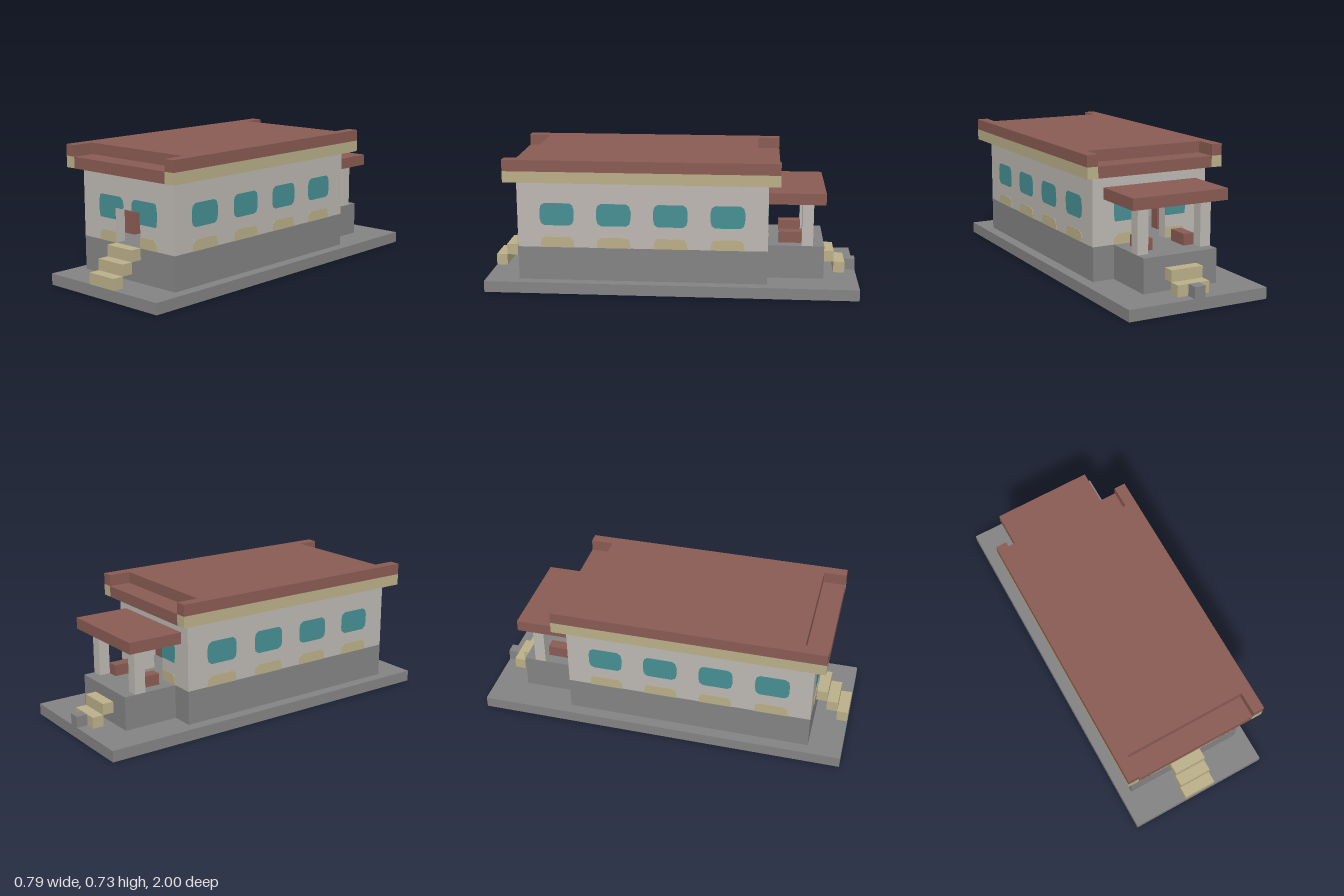
import * as THREE from 'three';

const mat = (name, color) => {
  const m = new THREE.MeshStandardMaterial({ color });
  m.name = name;
  return m;
};

export function createModel() {
  const stone = mat('stone grey', 0x848484);
  const wall = mat('pale wall', 0xbdb8b2);
  const red = mat('brick red', 0x8a5c53);
  const cream = mat('cream', 0xbbb08a);
  const teal = mat('teal glass', 0x479094);

  // Everything is laid out on a block grid, 33 blocks long
  const house = new THREE.Group();
  house.name = 'house';
  house.scale.setScalar(2 / 33);

  const box = (name, m, x0, x1, y0, y1, z0, z1) => {
    const mesh = new THREE.Mesh(new THREE.BoxGeometry(x1 - x0, y1 - y0, z1 - z0), m);
    mesh.position.set((x0 + x1) / 2, (y0 + y1) / 2, (z0 + z1) / 2);
    mesh.name = name;
    house.add(mesh);
    return mesh;
  };

  // Ground and foundations
  box('baseSlab', stone, -6.5, 6.5, 0, 1, -16.5, 16.5);
  box('foundation', stone, -5.5, 5.5, 1, 4, -8.5, 13.5);
  box('porchFoundation', stone, -3.5, 3.5, 1, 4, -13.5, -8.5);

  // Hollow walls, with a doorway at each end
  for (const s of [-1, 1]) box('sideWall', wall, s * 5 - 0.5, s * 5 + 0.5, 4, 10, -8.5, 13.5);
  for (const z of [-8.5, 12.5]) {
    for (const s of [-1, 1]) box('endWall', wall, s * 3 - 1.5, s * 3 + 1.5, 4, 10, z, z + 1);
    box('doorLintel', wall, -1.5, 1.5, 7, 10, z, z + 1);
  }

  // Roof: cream eaves, red core and a raised top recessed at both ends
  for (const s of [-1, 1]) {
    box('eaves', cream, s * 6 - 0.5, s * 6 + 0.5, 10, 11, -9.5, 14.5);
    box('roofEdge', red, s * 6 - 0.5, s * 6 + 0.5, 11, 12, -9.5, 14.5);
  }
  box('roofCore', red, -5.5, 5.5, 10, 11, -9.5, 14.5);
  box('roofTop', red, -5.5, 5.5, 11, 12, -7.5, 12.5);

  // Porch canopy, posts and benches
  box('canopy', red, -4.5, 4.5, 8, 9, -13.5, -8.5);
  for (const s of [-1, 1]) {
    box('porchPost', wall, s * 3 - 0.5, s * 3 + 0.5, 4, 8, -12.5, -11.5);
    box('porchBench', red, s * 2 - 0.5, s * 2 + 0.5, 4, 5, -11.5, -9.5);
  }

  // Seats inside
  for (const s of [-1, 1]) {
    for (const z of [-5, 0, 5, 10]) box('seat', red, s * 3.5 - 1, s * 3.5 + 1, 4, 6, z - 0.5, z + 0.5);
  }

  // Steps
  for (let i = 0; i < 3; i++) box('frontStep', cream, -1.5, 1.5, 3 - i, 4 - i, 13.5 + i, 14.5 + i);
  for (let i = 0; i < 2; i++) box('backStep', cream, -1.5, 1.5, 2 - i, 3 - i, -14.5 - i, -13.5 - i);
  box('backFootstone', stone, -0.5, 0.5, 1, 2, -16.5, -15.5);

  // Painted details on the walls
  const polygon = (pts) => new THREE.Shape(pts.map(([x, y]) => new THREE.Vector2(x, y)));
  const sideWindow = polygon([
    [-1.1, 6], [1.1, 6], [1.4, 6.2], [1.5, 6.6], [1.5, 7.4], [1.4, 7.8],
    [1.1, 8], [-1.1, 8], [-1.4, 7.8], [-1.5, 7.4], [-1.5, 6.6], [-1.4, 6.2],
  ]);
  const sidePanel = polygon([[-1.5, 4], [1.5, 4], [1.4, 4.7], [1.1, 4.95], [-1.1, 4.95], [-1.4, 4.7]]);
  const endWindow = polygon([
    [1.5, 6], [3.4, 6], [3.5, 6.6], [3.5, 7.4], [3.4, 7.9], [3.2, 8],
    [0.9, 8], [0.6, 7.8], [0.5, 7.4], [0.55, 7], [1.5, 7],
  ]);
  const endPanel = polygon([[1.5, 4], [3.5, 4], [3.4, 4.7], [3.1, 4.95], [1.5, 4.95]]);

  const paint = (name, m, shape, x, z, turn) => {
    const mesh = new THREE.Mesh(new THREE.ExtrudeGeometry(shape, { depth: 0.04, bevelEnabled: false }), m);
    mesh.position.set(x, 0, z);
    mesh.rotation.y = turn;
    mesh.name = name;
    house.add(mesh);
  };
  for (const s of [-1, 1]) {
    for (const z of [-5, 0, 5, 10]) {
      paint('sideWindow', teal, sideWindow, s * 5.5, z, s * Math.PI / 2);
      paint('sidePanel', cream, sidePanel, s * 5.5, z, s * Math.PI / 2);
    }
  }
  // Mirrored outlines give the other half of each end wall
  const mirrored = (shape) => polygon(shape.getPoints().map((p) => [-p.x, p.y]));
  for (const [z, turn] of [[13.5, 0], [-8.5, Math.PI]]) {
    for (const flip of [(s) => s, mirrored]) {
      paint('endWindow', teal, flip(endWindow), 0, z, turn);
      paint('endPanel', cream, flip(endPanel), 0, z, turn);
    }
  }

  const model = new THREE.Group();
  model.name = 'model';
  model.add(house);
  return model;
}
